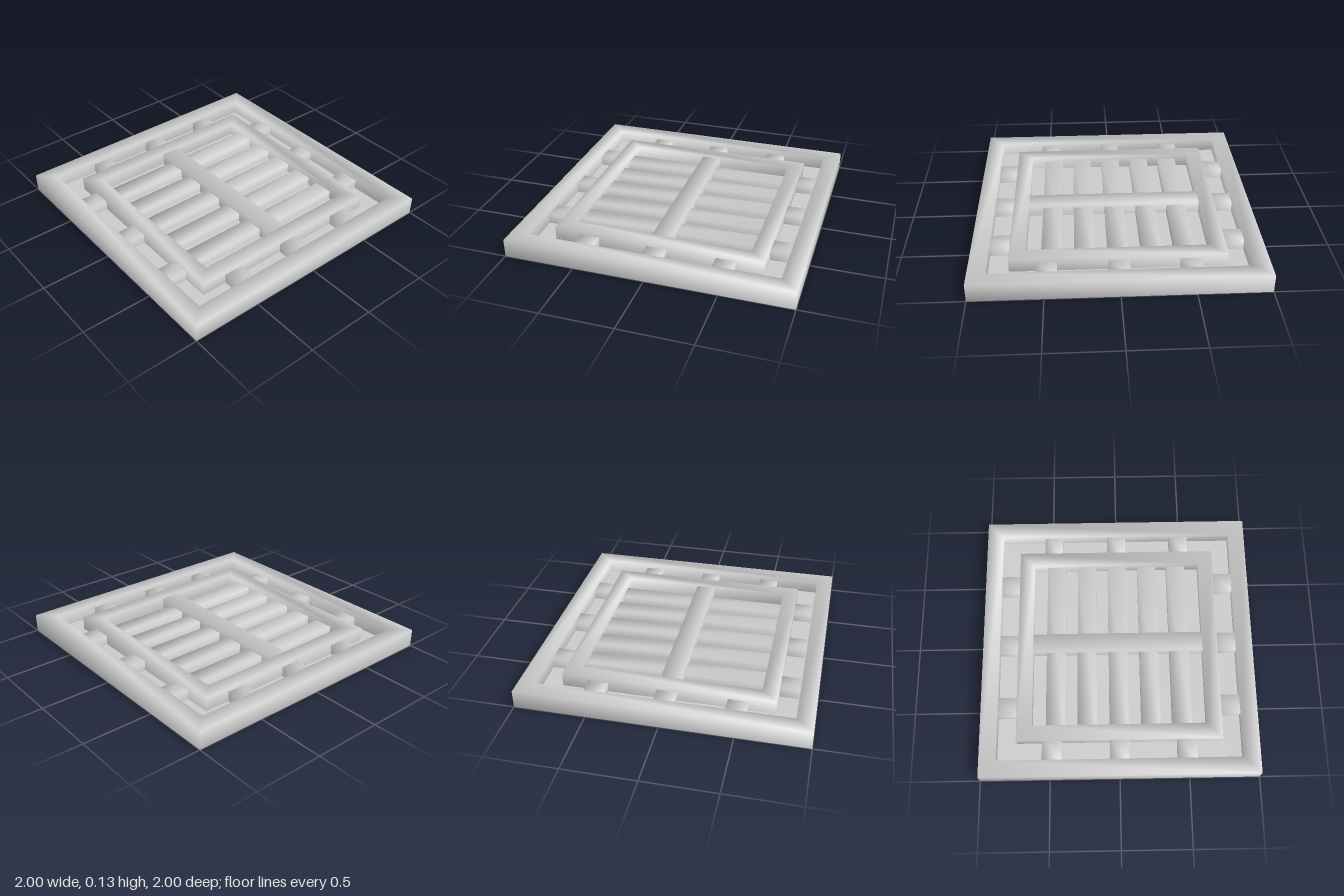
import * as THREE from 'three';
import { mergeVertices } from 'three/addons/utils/BufferGeometryUtils.js';

export function createModel() {
  const model = new THREE.Group();
  model.name = 'floorGrate';
  const material = new THREE.MeshStandardMaterial({ color: 0xcccccc, side: THREE.DoubleSide });

  function add(name, geometry, x = 0, y = 0, z = 0) {
    const mesh = new THREE.Mesh(geometry, material);
    mesh.name = name;
    mesh.position.set(x, y, z);
    model.add(mesh);
  }

  // Square frame, open underneath: a four-sided lathe
  function frame(name, outer, inner, height) {
    const profile = [[outer, 0], [outer, height], [inner, height], [inner, 0]]
      .map(([r, y]) => new THREE.Vector2(r * Math.SQRT2, y));
    add(name, new THREE.LatheGeometry(profile, 4, Math.PI / 4));
  }

  // Bar open underneath, with normals shared across its edges
  function bar(name, width, height, depth, x, z) {
    const box = new THREE.BoxGeometry(width, height, depth);
    const index = Array.from(box.index.array);
    index.splice(18, 6); // the bottom face
    box.setIndex(index);
    box.deleteAttribute('normal');
    box.deleteAttribute('uv');
    const geometry = mergeVertices(box);
    geometry.computeVertexNormals();
    add(name, geometry, x, height / 2, z);
  }

  frame('outerFrame', 1, 0.88, 0.13);
  frame('innerFrame', 0.74, 0.63, 0.128);

  // Thin sheet crossing the lower part of every bar
  const sheet = new THREE.PlaneGeometry(1.88, 1.88);
  sheet.rotateX(-Math.PI / 2);
  add('basePlate', sheet, 0, 0.03, 0);

  // Centre bar and the slats it crosses
  bar('centreBar', 0.14, 0.122, 1.36, 0, 0);
  for (const z of [-0.46, -0.23, 0, 0.23, 0.455]) bar('slat', 1.36, 0.095, 0.14, 0, z);

  // Short links joining the two frames, three per side
  for (const side of [-1, 1]) {
    for (const t of [-0.485, 0, 0.485]) {
      bar('linkFrontBack', 0.14, 0.1, 0.22, t, side * 0.81);
      bar('linkSide', 0.22, 0.1, 0.14, side * 0.81, t);
    }
  }
  return model;
}
